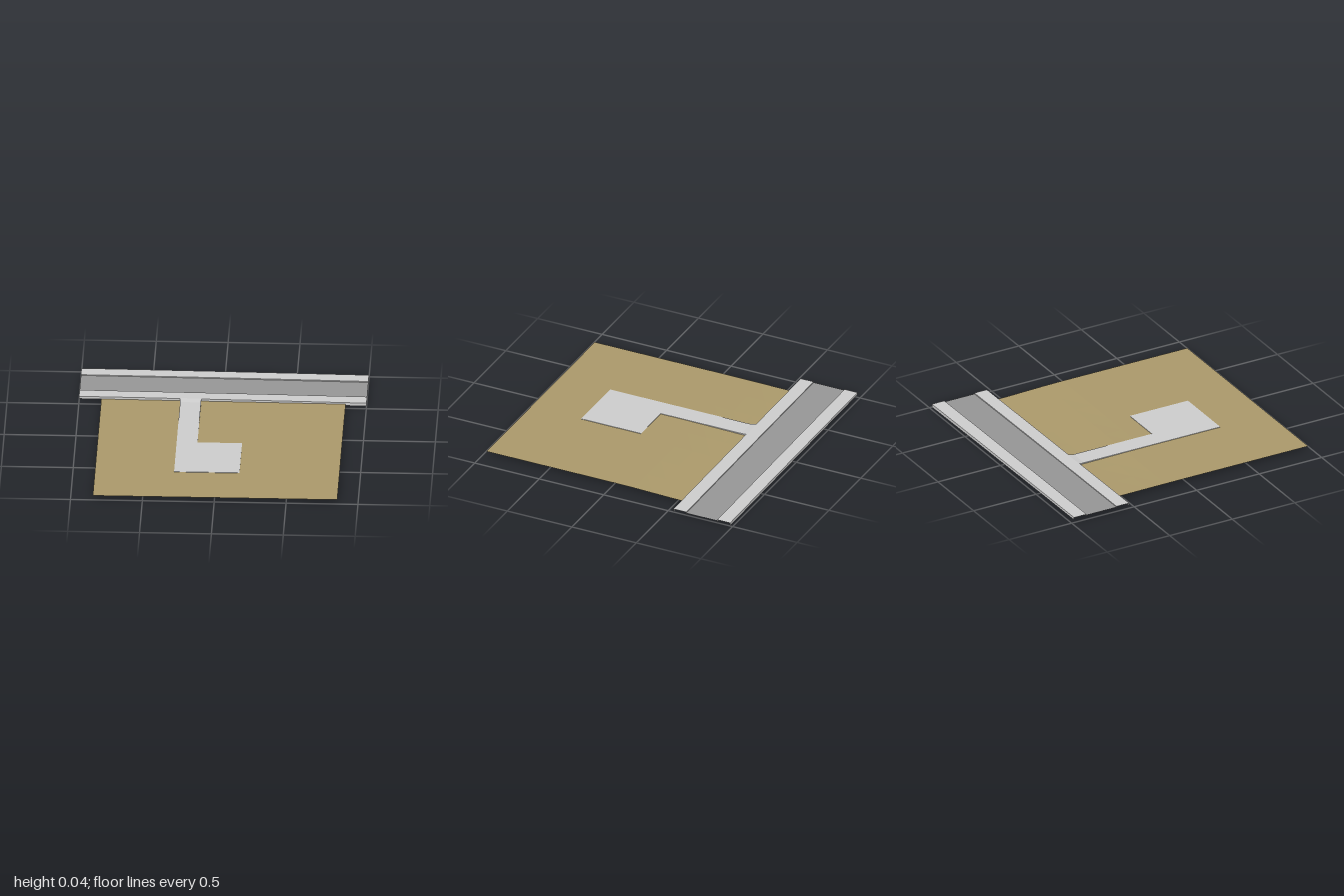
import * as THREE from 'three';

const material = (color) =>
  new THREE.MeshStandardMaterial({ color, flatShading: true, side: THREE.DoubleSide });

// Sheet over a grid of x and z, with its height given by a rule
function sheet(name, mat, x0, x1, z0, z1, nx, nz, height) {
  const geo = new THREE.PlaneGeometry(x1 - x0, z1 - z0, nx, nz);
  geo.rotateX(-Math.PI / 2).translate((x0 + x1) / 2, 0, (z0 + z1) / 2);
  const p = geo.attributes.position;
  for (let i = 0; i < p.count; i++) p.setY(i, height(p.getX(i), p.getZ(i)));
  geo.computeVertexNormals();
  const mesh = new THREE.Mesh(geo, mat);
  mesh.name = name;
  return mesh;
}

// Street crown line: falls gently from -x to +x
const streetTop = (x) => 0.034 - 0.0075 * x - 0.0015 * x * x;
const clamp = THREE.MathUtils.clamp;

// Profile of [z, offset below street top], swept along x
function streetStrip(name, mat, profile) {
  const xs = [-1, -0.5, 0, 0.5, 1];
  const pos = [], index = [];
  for (let s = 0; s < profile.length - 1; s++) {
    const base = pos.length / 3;
    xs.forEach((x, i) => {
      for (const [z, d] of [profile[s], profile[s + 1]]) {
        // Edges drop a little further at the low end
        const drop = d * (1 + 0.12 * x);
        pos.push(x, streetTop(x) - drop, z);
      }
      if (i < xs.length - 1) {
        const a = base + i * 2;
        index.push(a, a + 1, a + 2, a + 1, a + 3, a + 2);
      }
    });
  }
  const geo = new THREE.BufferGeometry();
  geo.setAttribute('position', new THREE.Float32BufferAttribute(pos, 3));
  geo.setIndex(index);
  geo.computeVertexNormals();
  const mesh = new THREE.Mesh(geo, mat);
  mesh.name = name;
  return mesh;
}

export function createModel() {
  const group = new THREE.Group();
  const grey = material(0xcccccc);
  const asphalt = material(0x959595);
  const earth = material(0xaa986a);

  // Lot surface, dipping under the street at the back
  group.add(sheet('ground', earth, -0.845, 0.855, -0.73, 0.98, 8, 12, (x, z) => {
    const t = clamp((-z - 0.1) / 0.44, 0, 1);
    return 0.025 - t * (0.007 + 0.005 * x);
  }));

  // Roadway between two pavements
  group.add(streetStrip('road', asphalt, [[-0.64, 0.007], [-0.88, 0.007]]));

  // Pavements with downturned edges on both sides
  for (const [name, z0, z1] of [
    ['nearPavement', -0.54, -0.64],
    ['farPavement', -0.98, -0.88],
  ]) {
    group.add(streetStrip(name, grey, [[z0, 0.021], [z0, 0], [z1, 0], [z1, 0.018]]));
  }

  // L-shaped driveway and pad, a solid slab set into the ground
  const outline = new THREE.Shape([
    [-0.295, -0.59], [0.16, -0.59], [0.16, -0.125],
    [-0.15, -0.125], [-0.15, 0.545], [-0.295, 0.545],
  ].map(([x, y]) => new THREE.Vector2(x, y)));
  const slab = new THREE.ExtrudeGeometry(outline, { depth: 0.018, bevelEnabled: false });
  slab.rotateX(-Math.PI / 2).translate(0, 0.01, 0);
  const driveway = new THREE.Mesh(slab, grey);
  driveway.name = 'driveway';
  group.add(driveway);

  // Flared apron where the driveway crosses the pavement
  const apron = sheet('apron', grey, -0.295, -0.15, -0.635, -0.5, 1, 3, (x, z) =>
    THREE.MathUtils.lerp(0.0285, streetTop(x) + 0.001, clamp((-0.5 - z) / 0.045, 0, 1)));
  const p = apron.geometry.attributes.position;
  for (let i = 0; i < p.count; i++) {
    const flare = clamp((-0.54 - p.getZ(i)) / 0.095, 0, 1);
    p.setX(i, p.getX(i) + Math.sign(p.getX(i) + 0.2225) * 0.03 * flare);
  }
  apron.geometry.computeVertexNormals();
  group.add(apron);

  return group;
}
